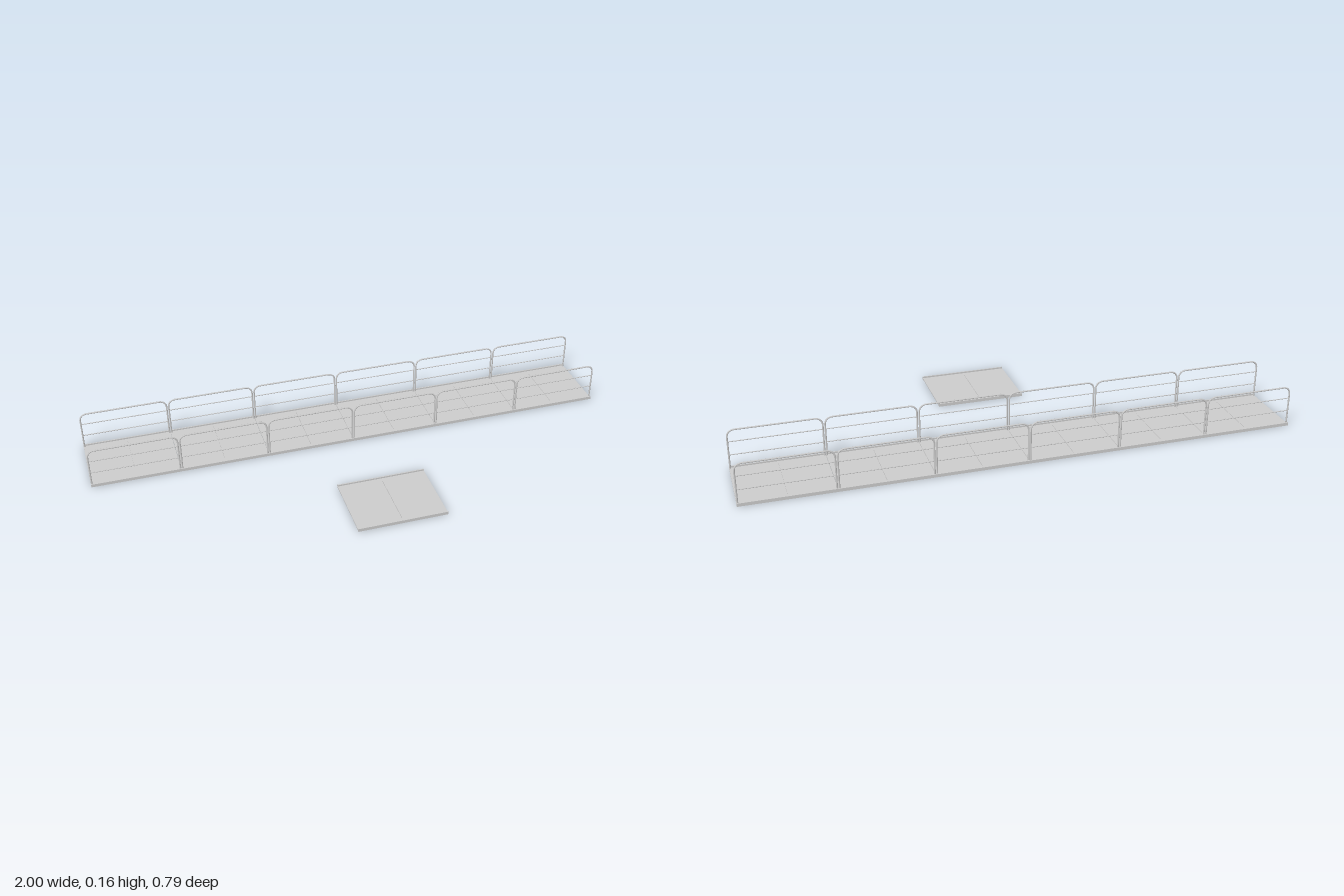
import * as THREE from 'three';

const mat = new THREE.MeshStandardMaterial({ color: 0xcccccc, side: THREE.DoubleSide });
const L = 1 / 3;        // module length along x
const HALF = 0.133;     // half the module depth
const RAIL_Z = 0.1235;  // railing offset from the deck centre line

function add(parent, geo, name, x = 0, y = 0, z = 0) {
  const m = new THREE.Mesh(geo, mat);
  m.name = name;
  m.position.set(x, y, z);
  parent.add(m);
  return m;
}

// Side channel: flat flange with an upturned outer lip, extruded along x
function channelGeometry(side) {
  const pts = [[0.112, 0.001], [0.128, 0.001], [0.128, 0], [HALF, 0], [HALF, 0.0115],
    [0.1285, 0.0115], [0.1285, 0.006], [0.112, 0.006]];
  const shape = new THREE.Shape(pts.map(([z, y]) => new THREE.Vector2(-z * side, y)));
  const geo = new THREE.ExtrudeGeometry(shape, { depth: L - 0.001, bevelEnabled: false });
  geo.translate(0, 0, -(L - 0.001) / 2);
  geo.rotateY(Math.PI / 2);
  return geo;
}

// One deck module: two plates, two side channels and cross ribs below
function deckModule() {
  const g = new THREE.Group();
  g.name = 'deckModule';
  const w = L / 2 - 0.0015;
  for (const s of [-1, 1]) {
    add(g, new THREE.BoxGeometry(w, 0.004, 0.228), 'deckPlate', s * L / 4, 0.004, 0);
    add(g, channelGeometry(s), 'sideChannel');
    add(g, new THREE.BoxGeometry(0.004, 0.002, 0.228), 'endRib', s * (L / 2 - 0.004), 0.0012, 0);
  }
  add(g, new THREE.BoxGeometry(0.006, 0.002, 0.228), 'middleRib', 0, 0.0012, 0);
  return g;
}

// Railing frame: bent tube with rounded top corners and two thin horizontal bars
function railing() {
  const g = new THREE.Group();
  g.name = 'railing';
  const v = (x, y) => new THREE.Vector3(x, y, 0);
  const x = L / 2 - 0.004, top = 0.152, r = 0.024;
  const path = new THREE.CurvePath();
  path.add(new THREE.LineCurve3(v(-x, 0.003), v(-x, top - r)));
  path.add(new THREE.QuadraticBezierCurve3(v(-x, top - r), v(-x + r * 0.12, top - r * 0.12), v(-x + r, top)));
  path.add(new THREE.LineCurve3(v(-x + r, top), v(x - r, top)));
  path.add(new THREE.QuadraticBezierCurve3(v(x - r, top), v(x - r * 0.12, top - r * 0.12), v(x, top - r)));
  path.add(new THREE.LineCurve3(v(x, top - r), v(x, 0.003)));
  add(g, new THREE.TubeGeometry(path, 120, 0.003, 8), 'railFrame');
  for (const y of [0.058, 0.108]) {
    const bar = add(g, new THREE.CylinderGeometry(0.0018, 0.0018, 2 * x, 8), 'railBar', 0, y, 0);
    bar.rotation.z = Math.PI / 2;
  }
  return g;
}

export function createModel() {
  const model = new THREE.Group();
  model.name = 'walkway';

  // Run of six modules with railings on both sides
  for (let i = 0; i < 6; i++) {
    const section = new THREE.Group();
    section.name = 'walkwaySection';
    section.position.set((i - 2.5) * L, 0, -0.264);
    section.add(deckModule());
    for (const s of [-1, 1]) {
      const rail = railing();
      rail.position.z = s * RAIL_Z;
      section.add(rail);
    }
    model.add(section);
  }

  // Loose module without railings
  const spare = deckModule();
  spare.name = 'spareDeckModule';
  spare.position.set(0.023, 0, 0.264);
  model.add(spare);
  return model;
}
